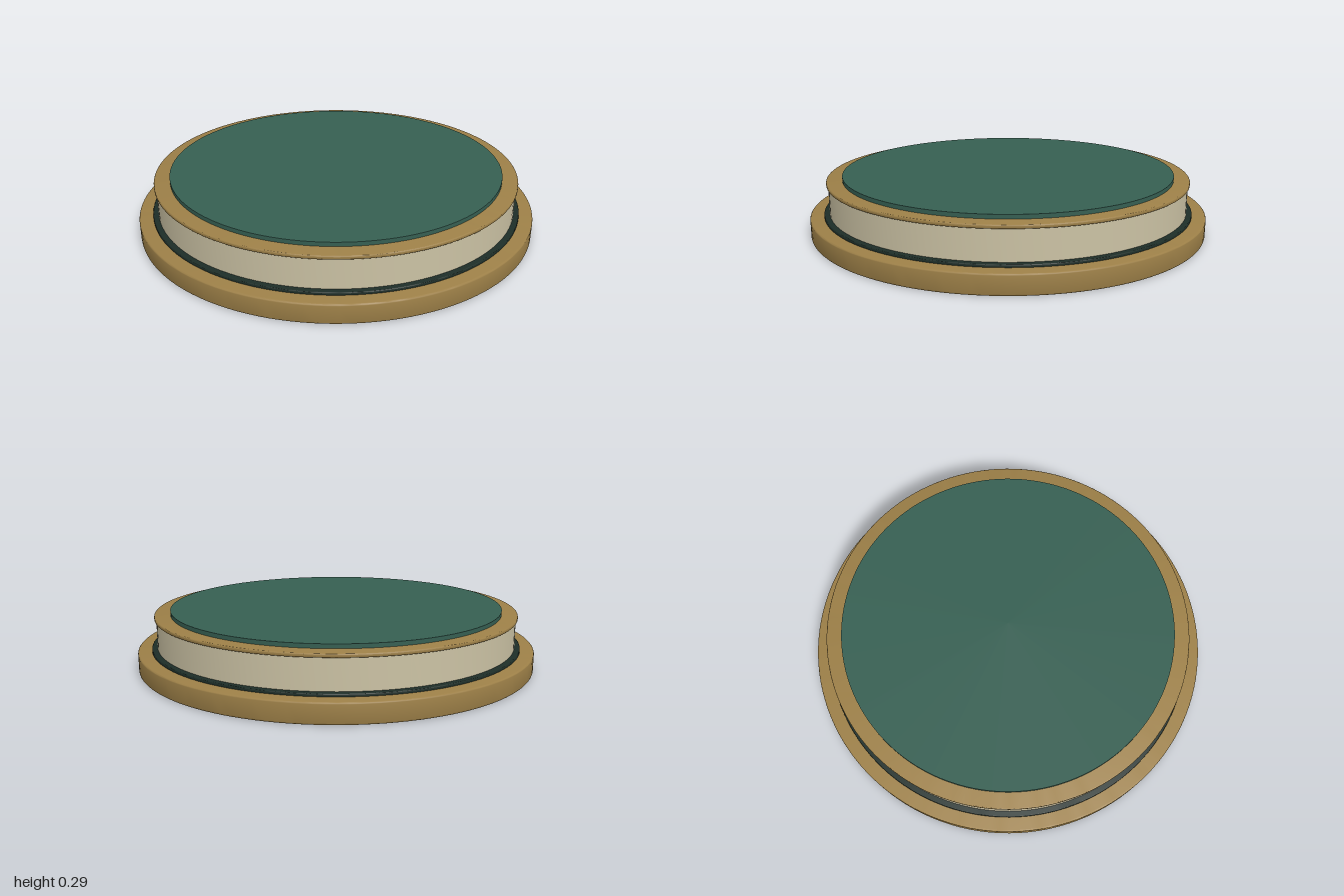
import * as THREE from 'three';
import { toCreasedNormals } from 'three/addons/utils/BufferGeometryUtils.js';

const SIDES = 128;

function material(name, color) {
  const m = new THREE.MeshStandardMaterial({ color });
  m.name = name;
  return m;
}

// Closed disc from y0 to y1 with a small rounded edge of radius b
function disc(name, radius, y0, y1, b, mat) {
  const pts = [new THREE.Vector2(0, y0)];
  const steps = b > 0 ? 3 : 0;
  const corner = (cy, start) => {
    for (let i = 0; i <= steps; i++) {
      const a = start + (steps ? (i / steps) * Math.PI / 2 : 0);
      pts.push(new THREE.Vector2(radius - b + b * Math.cos(a), cy + b * Math.sin(a)));
    }
  };
  corner(y0 + b, -Math.PI / 2);
  corner(y1 - b, 0);
  pts.push(new THREE.Vector2(0, y1));
  const geo = toCreasedNormals(new THREE.LatheGeometry(pts, SIDES), 0.6);
  const mesh = new THREE.Mesh(geo, mat);
  mesh.name = name;
  return mesh;
}

export function createModel() {
  const brass = material('brass', 0x9c7f47);
  const ivory = material('ivory', 0xcbc2a4);
  const felt = material('green felt', 0x365f52);
  const dark = material('dark green', 0x1d2d27);

  const group = new THREE.Group();
  group.name = 'roundPlinth';
  group.add(
    disc('base', 1, 0, 0.095, 0.008, brass),
    disc('shadowRing', 0.932, 0.09, 0.108, 0.004, dark),
    disc('drum', 0.905, 0.1, 0.255, 0, ivory),
    disc('topRim', 0.914, 0.25, 0.268, 0.005, brass),
    disc('feltTop', 0.836, 0.262, 0.288, 0, felt),
  );
  return group;
}
